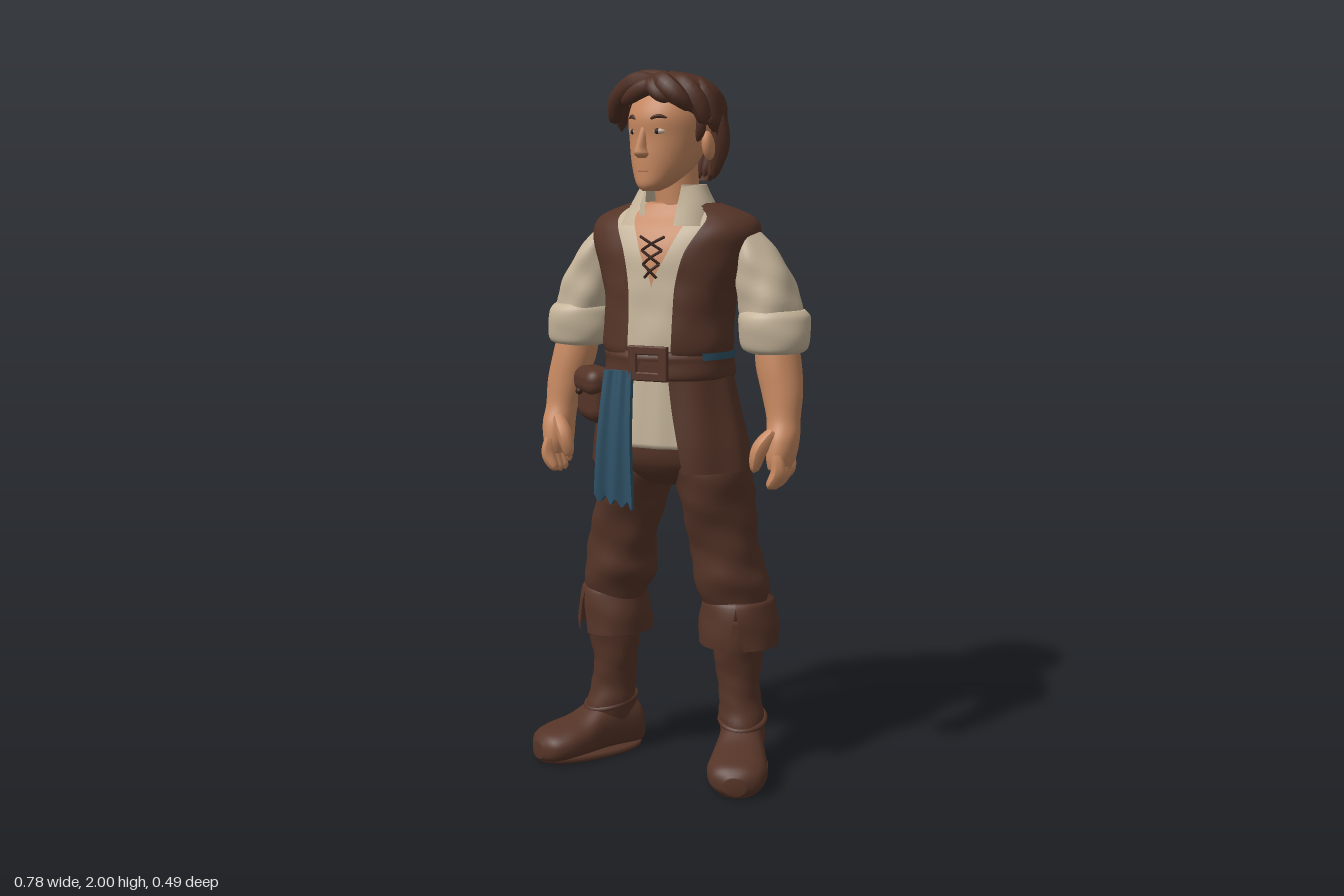
import * as THREE from 'three';
import { RoundedBoxGeometry } from 'three/addons/geometries/RoundedBoxGeometry.js';

const mat = (name, color, side = THREE.DoubleSide) => {
  const m = new THREE.MeshStandardMaterial({ color, side });
  m.name = name;
  return m;
};

export function createModel() {
  const leather = mat('leather brown', 0x553427), hairMat = mat('hair brown', 0x4f2f23);
  const linen = mat('linen', 0xc5b49a), skin = mat('skin', 0xc68860), blue = mat('blue cloth', 0x2f5368);
  const dark = mat('dark brown', 0x38221a), white = mat('eye white', 0xd0b8a4), lip = mat('lip', 0xab6b50);

  const model = new THREE.Group();
  const add = (parent, name, geo, material, p = [0, 0, 0], r = [0, 0, 0], s = [1, 1, 1]) => {
    const m = new THREE.Mesh(geo, material);
    m.name = name;
    m.position.set(...p); m.rotation.set(...r); m.scale.set(...s);
    parent.add(m);
    return m;
  };
  const group = (name, parent = model) => {
    const g = new THREE.Group();
    g.name = name;
    parent.add(g);
    return g;
  };

  // Smooth skin over rising rings [y, cx, cz, rx, rz, gap]; gap is half an opening around angle face
  function loft(rows, { n = 32, steps = 5, face = Math.PI / 2, power = 1, fold = 0, k = 5, twist = 30 } = {}) {
    const open = rows[0].length > 5, cols = open ? n + 1 : n, pos = [], idx = [];
    const cr = (a, b, c, d, t) => b + 0.5 * t * (c - a + t * (2 * a - 5 * b + 4 * c - d + t * (3 * (b - c) + d - a)));
    const se = v => Math.sign(v) * Math.abs(v) ** power;
    const total = (rows.length - 1) * steps;
    for (let i = 0; i <= total; i++) {
      const q = Math.min(Math.floor(i / steps), rows.length - 2), t = i / steps - q;
      const at = o => rows[Math.max(0, Math.min(rows.length - 1, q + o))];
      const [y, cx, cz, rx, rz, gap = 0] = rows[0].map((_, c) => cr(at(-1)[c], at(0)[c], at(1)[c], at(2)[c], t));
      for (let j = 0; j < cols; j++) {
        const a = face + gap + (2 * Math.PI - 2 * gap) * j / n;
        const f = 1 + fold * Math.sin(k * a + twist * y) + fold * 0.6 * Math.sin(2 * a - twist * 2.3 * y);
        pos.push(cx + rx * f * se(Math.cos(a)), y, cz + rz * f * se(Math.sin(a)));
      }
    }
    for (let i = 0; i < total; i++) for (let j = 0; j < n; j++) {
      const a = i * cols + j, b = i * cols + (j + 1) % cols;
      idx.push(a, a + cols, b, b, a + cols, b + cols);
    }
    if (!open) [[rows[0], 0], [rows.at(-1), total * cols]].forEach(([r, base], top) => {
      const c = pos.length / 3;
      pos.push(r[1], r[0], r[2]);
      for (let j = 0; j < n; j++) {
        const a = base + j, b = base + (j + 1) % n;
        idx.push(c, top ? b : a, top ? a : b);
      }
    });
    const g = new THREE.BufferGeometry();
    g.setAttribute('position', new THREE.Float32BufferAttribute(pos, 3));
    g.setIndex(idx);
    g.computeVertexNormals();
    return g;
  }

  // Rounded tapering strand along a curve
  function strand(points, r, blunt = 0.5) {
    const curve = new THREE.CatmullRomCurve3(points.map(p => new THREE.Vector3(...p)));
    const g = new THREE.TubeGeometry(curve, 14, r, 8), p = g.attributes.position, v = new THREE.Vector3();
    for (let i = 0; i < p.count; i++) {
      const t = Math.floor(i / 9) / 14, c = curve.getPointAt(t);
      const w = Math.sin(Math.PI * (0.12 + 0.88 * t)) ** blunt || 0;
      v.fromBufferAttribute(p, i).sub(c).multiplyScalar(Math.max(w, 0.02));
      p.setXYZ(i, c.x + v.x, c.y + v.y, c.z + v.z);
    }
    g.computeVertexNormals();
    return g;
  }

  // Torso, turned slightly toward its left
  const torso = group('torso');
  torso.rotation.y = 0.28;
  torso.position.x = 0.008;
  const body = [[1.22, 0, -.005, .178, .145], [1.25, 0, -.005, .186, .152], [1.34, 0, -.012, .184, .15], [1.42, 0, -.025, .197, .157],
    [1.5, 0, -.042, .225, .163], [1.56, 0, -.055, .246, .15], [1.6, 0, -.06, .218, .125], [1.635, 0, -.055, .125, .1]];
  const inset = (d, gaps) => body.map(([y, x, z, a, b], i) => [y, x, z, a - d, b - d, ...(gaps ? [gaps[i]] : [])]);
  const trunk = { n: 56, power: .9 };
  add(torso, 'vest', loft(inset(0, [.34, .35, .36, .36, .4, .5, .65, .8]), { ...trunk, fold: .008 }), leather);
  add(torso, 'vestLining', loft(inset(.008, [.32, .33, .34, .34, .38, .48, .63, .78]), trunk), leather);
  add(torso, 'shirt', loft(inset(.016, [0, 0, 0, .01, .16, .25, .36, .5]), { ...trunk, fold: .006, k: 9 }), linen);
  add(torso, 'chest', loft(inset(.027), trunk), skin);
  add(torso, 'shirtTail', loft([[.965, 0, -.01, .205, .147], [1.06, 0, -.01, .195, .143], [1.24, 0, -.01, .165, .132]],
    { fold: .012, k: 16, twist: 4, n: 64 }), linen);
  add(torso, 'vestSkirt', loft([[.9, .005, -.015, .24, .17, .42], [.98, .003, -.012, .229, .164, .38],
    [1.08, 0, -.01, .205, .155, .34], [1.2, 0, -.01, .174, .145, .3]], { fold: .018, k: 9, twist: 6, n: 56 }), leather);
  add(torso, 'collar', loft([[1.575, 0, -.025, .145, .142, .42], [1.63, 0, -.037, .12, .117, .48],
    [1.685, 0, -.045, .09, .092, .62]], { fold: .015 }), linen);
  add(torso, 'collarInside', loft([[1.6, 0, -.035, .1, .1, .5], [1.685, 0, -.045, .09, .092, .62]]), linen);
  add(torso, 'belt', loft([[1.155, 0, -.01, .18, .155], [1.165, 0, -.01, .189, .163], [1.2, 0, -.01, .187, .16],
    [1.22, 0, -.01, .188, .162], [1.235, 0, -.01, .178, .152]], { steps: 3, fold: .012 }), leather);
  add(torso, 'sash', loft([[1.212, 0, -.01, .194, .168, 2.72], [1.232, 0, -.01, .194, .168, 2.72]],
    { face: Math.PI + .3, n: 12 }), blue);

  // Buckle frame
  const rect = (w, h) => [[-w, -h], [w, -h], [w, h], [-w, h]].map(p => new THREE.Vector2(...p));
  const frame = new THREE.Shape(rect(.055, .045));
  frame.holes.push(new THREE.Path(rect(.035, .027).reverse()));
  add(torso, 'buckle', new THREE.ExtrudeGeometry(frame, { depth: .012, bevelSize: .003, bevelThickness: .003, bevelSegments: 1 }),
    leather, [.005, 1.203, .143]);
  add(torso, 'bucklePin', new THREE.BoxGeometry(.07, .01, .01), leather, [.02, 1.203, .155]);

  // Neck lacing
  for (let i = 0; i < 3; i++) for (const s of [-1, 1]) {
    const y = 1.435 + i * .037, w = .018 + i * .006, z = .126 - i * .005;
    add(torso, 'lace', new THREE.TubeGeometry(new THREE.CatmullRomCurve3([new THREE.Vector3(-s * w, y, z - .004),
      new THREE.Vector3(0, y + .018, z), new THREE.Vector3(s * (w + .006), y + .037, z - .008)]), 8, .004, 6), dark);
  }

  // Arms
  for (const s of [-1, 1]) {
    const arm = group(s > 0 ? 'leftArm' : 'rightArm', torso);
    const m = rows => rows.map(([y, x, ...r]) => [y, x * s, ...r]);
    add(arm, 'sleeve', loft(m([[1.28, .29, -.06, .08, .085], [1.36, .28, -.063, .086, .092], [1.44, .26, -.065, .077, .09],
      [1.51, .235, -.063, .056, .076], [1.57, .2, -.06, .03, .05]]), { fold: .035, k: 4 }), linen);
    add(arm, 'rolledCuff', loft(m([[1.225, .3, -.055, .068, .07], [1.238, .3, -.055, .09, .09], [1.28, .297, -.057, .1, .099],
      [1.325, .293, -.06, .099, .099], [1.345, .29, -.06, .085, .085]]), { fold: .02, k: 3 }), linen);
    add(arm, 'forearmAndPalm', loft(m([[.915, .34, .012, .03, .05], [.95, .344, .01, .04, .06], [1.0, .346, .003, .045, .058],
      [1.05, .342, -.01, .047, .048], [1.12, .332, -.025, .058, .055], [1.19, .316, -.04, .064, .064], [1.27, .303, -.05, .06, .062]])), skin);
    for (let i = 0; i < 4; i++) {
      const z = -.032 + i * .03, tip = .858 + (i === 0 ? .02 : i === 3 ? .006 : 0);
      add(arm, 'finger', strand([[s * .348, .96, z], [s * .352, .91, z + .003], [s * .325, tip, z + .006]], .021, .35), skin);
    }
    add(arm, 'thumb', strand([[s * .33, 1.02, .04], [s * .298, .97, .062], [s * .282, .905, .062]], .023, .4), skin);
  }

  // Hip pouch
  const pouch = group('pouch');
  pouch.position.set(-.152, 1.095, .125);
  pouch.rotation.y = -.5;
  add(pouch, 'pouchBag', new RoundedBoxGeometry(.145, .15, .085, 4, .04), leather);
  add(pouch, 'pouchFlap', new RoundedBoxGeometry(.152, .08, .095, 4, .035), leather, [0, .042, .004]);
  add(pouch, 'pouchStud', new THREE.SphereGeometry(.01, 10, 8), dark, [0, .015, .052]);

  // Hanging scarf with soft lengthwise folds and a ragged hem
  const scarf = new THREE.BoxGeometry(1, .37, .016, 24, 14, 1), sp = scarf.attributes.position;
  for (let i = 0; i < sp.count; i++) {
    const u = sp.getX(i), y = sp.getY(i), t = .5 - y / .37;
    sp.setXYZ(i, u * (.085 + .035 * t) - .015 * t, y + (t > .97 ? .01 * Math.sin(u * 22) - .02 * u : 0),
      sp.getZ(i) + .004 * Math.sin(u * 13 + t) + .012 * Math.sin(t * 3));
  }
  scarf.computeVertexNormals();
  add(model, 'scarf', scarf, blue, [-.03, .995, .168], [0, .25, 0]);

  // Trousers and boots
  add(torso, 'hips', loft([[.85, 0, -.02, .08, .08], [.89, 0, -.02, .17, .12], [.95, 0, -.015, .2, .138], [1.1, 0, -.01, .17, .13]]), leather);
  const legs = {
    right: { x: -.2, z: 0, yaw: -.34, out: -.014, cuff: .11, thigh: [[.46, -.195, 0, .08, .08], [.51, -.185, .002, .095, .09], [.57, -.17, .005, .11, .102],
      [.63, -.162, .008, .104, .098], [.7, -.143, .012, .098, .1], [.8, -.118, .01, .1, .112], [.9, -.1, .005, .11, .12], [.97, -.09, 0, .1, .11]] },
    left: { x: .175, z: -.118, yaw: .56, out: .014, cuff: .118, thigh: [[.46, .172, -.115, .08, .08], [.51, .165, -.11, .097, .092], [.57, .156, -.1, .112, .103],
      [.63, .152, -.092, .104, .098], [.7, .146, -.08, .1, .1], [.8, .14, -.06, .103, .112], [.9, .128, -.045, .112, .12], [.97, .11, -.04, .1, .11]] },
  };
  for (const [side, L] of Object.entries(legs)) {
    const leg = group(side + 'Leg');
    add(leg, 'trouserLeg', loft(L.thigh, { fold: .028, k: 3, twist: 28 }), leather);
    const boot = group('boot', leg);
    boot.position.set(L.x, 0, L.z);
    boot.rotation.y = L.yaw;
    add(boot, 'bootShaft', loft([[.06, L.out, 0, .058, .072], [.14, L.out * .8, .005, .066, .08], [.2, L.out * .5, 0, .061, .068],
      [.27, 0, -.004, .063, .066], [.36, 0, 0, .072, .075], [.46, 0, 0, .083, .085]], { fold: .025, k: 2, twist: 45 }), leather);
    const c = L.cuff;
    add(boot, 'bootCuff', loft([[.38, 0, -.005, c, c, .2], [.44, 0, -.003, c * .98, c * .98, .1], [.5, 0, 0, c * .88, c * .88, .005],
      [.515, 0, 0, c * .8, c * .8, 0]], { fold: .015, k: 4 }), leather);
    const foot = group('foot', boot);
    foot.position.x = L.out;
    add(foot, 'bootFoot', loft([[-.095, 0, -.055, .035, .045], [-.07, 0, -.073, .06, .073], [0, 0, -.085, .064, .085], [.06, 0, -.075, .068, .075],
      [.12, 0, -.058, .08, .058], [.18, 0, -.05, .086, .05], [.23, 0, -.043, .07, .042], [.255, 0, -.035, .03, .025]],
      { power: .85 }).rotateX(Math.PI / 2), leather);
    add(foot, 'sole', loft([[0, 0, .078, .078, .168], [.018, 0, .078, .08, .172]], { power: .9, steps: 1 }), leather);
    add(foot, 'ankleStrap', new THREE.TorusGeometry(.064, .009, 8, 28), leather, [0, .15, .005], [Math.PI / 2 + .2, 0, 0], [1, 1.2, 1]);
  }

  // Head
  const head = group('head');
  head.position.x = -.003;
  add(head, 'neck', loft([[1.54, .015, -.05, .085, .07], [1.62, .012, -.045, .064, .064], [1.76, 0, -.04, .062, .066]]), skin);
  add(head, 'face', loft([[1.668, 0, .06, .022, .026], [1.685, 0, .045, .048, .052], [1.72, 0, .015, .076, .083], [1.76, 0, -.005, .094, .103],
    [1.81, 0, -.018, .107, .114], [1.87, 0, -.025, .113, .122], [1.93, 0, -.035, .1, .1], [1.96, 0, -.04, .06, .06]]), skin);
  add(head, 'nose', loft([[1.757, 0, .09, .014, .02], [1.768, 0, .097, .021, .027], [1.785, 0, .096, .014, .025], [1.83, 0, .088, .01, .015],
    [1.85, 0, .08, .008, .012]], { n: 14, steps: 4 }), skin);
  const ball = new THREE.SphereGeometry(1, 14, 10);
  add(head, 'mouth', ball, lip, [0, 1.722, .09], [0, 0, 0], [.025, .004, .009]);
  for (const s of [-1, 1]) {
    add(head, 'eye', ball, white, [s * .044, 1.828, .077], [0, s * .35, 0], [.02, .009, .014]);
    add(head, 'iris', ball, dark, [s * .043, 1.828, .087], [0, s * .35, 0], [.007, .008, .006]);
    add(head, 'eyebrow', strand([[s * .02, 1.858, .092], [s * .045, 1.868, .085], [s * .072, 1.86, .066]], .006), hairMat);
    add(head, 'ear', ball, skin, [s * .116, 1.79, -.045], [.2, s * .35, 0], [.017, .04, .027]);
    add(head, 'sideburn', strand([[s * .112, 1.88, -.01], [s * .114, 1.84, -.012], [s * .106, 1.8, -.01]], .016), hairMat);
  }

  // Hair cap with separate swept locks
  add(head, 'hairCap', loft([[1.695, 0, -.095, .07, .045, 1.65], [1.74, 0, -.092, .095, .082, 1.8], [1.8, 0, -.075, .118, .112, 1.75],
    [1.86, 0, -.058, .132, .132, 1.2], [1.91, 0, -.05, .138, .13, .4], [1.95, 0, -.04, .12, .112, .02],
    [1.98, 0, -.03, .075, .075, 0], [1.993, 0, -.025, .002, .002, 0]], { fold: .018, k: 9, twist: 14, n: 56 }), hairMat);
  const locks = [
    [[.03, 1.95, .04], [-.04, 1.96, .07], [-.11, 1.915, .068], [-.15, 1.86, .04], [-.158, 1.885, .03]],
    [[.02, 1.972, .01], [-.07, 1.96, .035], [-.135, 1.9, .02], [-.155, 1.83, .005]],
    [[.0, 1.97, -.04], [-.09, 1.94, -.03], [-.135, 1.88, -.035], [-.14, 1.825, -.035], [-.155, 1.81, -.04]],
    [[.04, 1.95, .04], [.0, 1.945, .08], [-.05, 1.92, .09], [-.085, 1.9, .08]],
    [[.0, 1.965, .03], [.05, 1.955, .07], [.1, 1.92, .068], [.128, 1.88, .04]],
    [[.02, 1.972, .0], [.09, 1.945, .025], [.13, 1.9, .015], [.145, 1.85, 0], [.157, 1.865, -.01]],
    [[.03, 1.968, -.05], [.1, 1.935, -.03], [.133, 1.87, -.04], [.136, 1.825, -.045]],
    [[-.02, 1.955, .03], [.02, 1.95, .078], [.055, 1.922, .088], [.08, 1.905, .078]],
  ];
  locks.forEach((p, i) => add(head, 'hairLock', strand(p, i % 4 === 3 ? .023 : .03), hairMat));
  for (let i = 0; i < 9; i++) {
    const a = Math.PI * (1.1 + .8 * i / 8), c = Math.cos(a), s = Math.sin(a), drop = i % 2 * .015;
    add(head, 'napeLock', strand([[c * .12, 1.88, -.06 + s * .11], [c * .115, 1.78, -.07 + s * .102],
      [c * .095, 1.7 + drop - .012 * s * s, -.085 + s * .052]], .024), hairMat);
  }
  return model;
}
